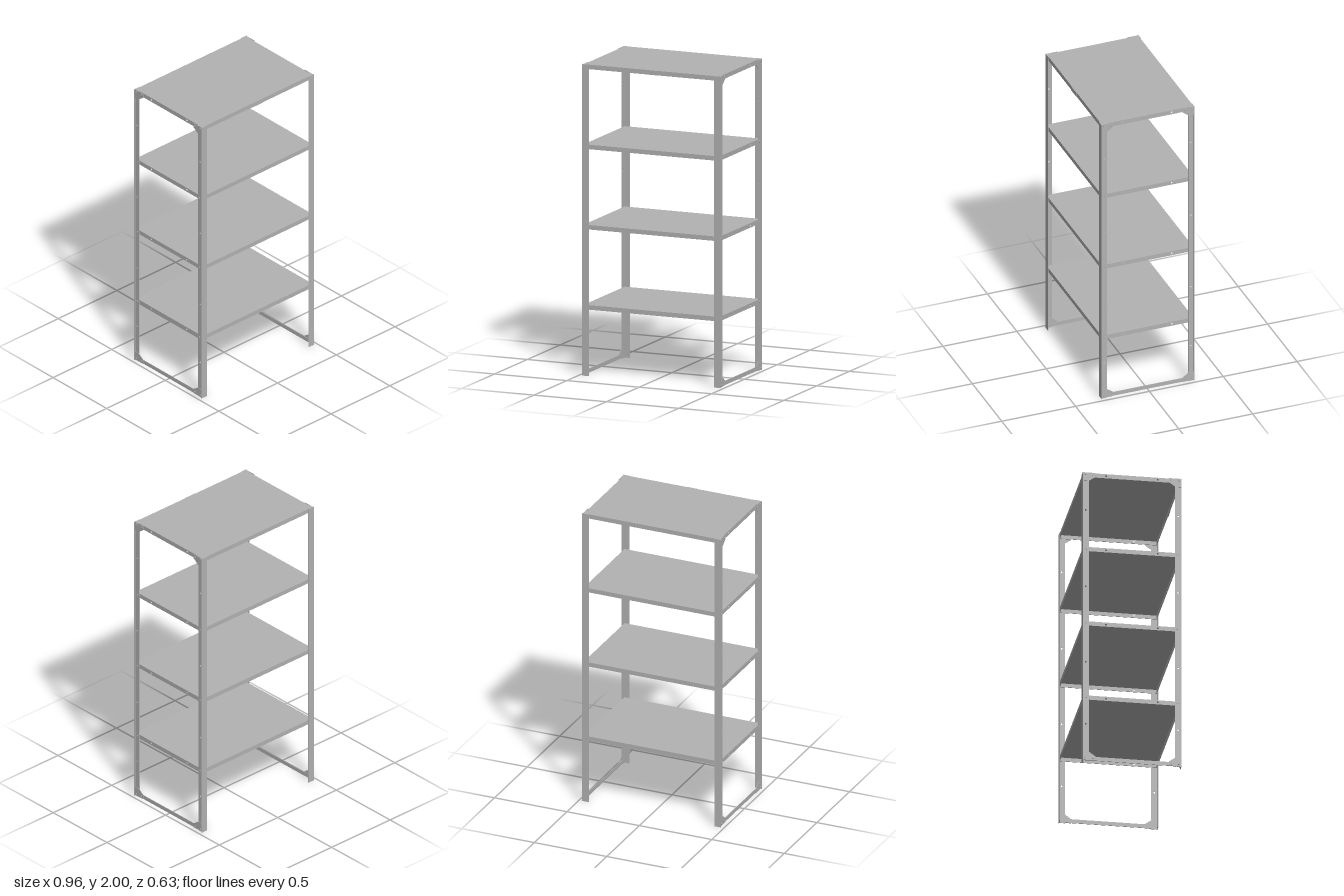
import * as THREE from 'three';

const steel = new THREE.MeshStandardMaterial({ color: 0xb2b2b2 });
steel.name = 'grey steel';

const SHELF_TOPS = [0.455, 0.97, 1.486, 2.0];
const SHELF_H = 0.029;
const T = 0.004; // sheet thickness
const SHELF_X = 0.468, SHELF_Z = 0.311; // half sizes of a shelf
const POST_X = 0.48, POST_Z = 0.315; // half sizes over the posts

function add(parent, name, geometry) {
  const mesh = new THREE.Mesh(geometry, steel);
  mesh.name = name;
  parent.add(mesh);
  return mesh;
}

// Box given by its minimum and maximum corners
function box(parent, name, x0, x1, y0, y1, z0, z1) {
  const mesh = add(parent, name, new THREE.BoxGeometry(x1 - x0, y1 - y0, z1 - z0));
  mesh.position.set((x0 + x1) / 2, (y0 + y1) / 2, (z0 + z1) / 2);
  return mesh;
}

// Plate drawn in (z, y), with round holes, starting at x and thickened outwards
function sidePlate(parent, name, points, holes, x, thickness = T) {
  const shape = new THREE.Shape(points.map(([z, y]) => new THREE.Vector2(z, y)));
  for (const [z, y] of holes) {
    shape.holes.push(new THREE.Path().absarc(z, y, 0.006, 0, Math.PI * 2, true));
  }
  const g = new THREE.ExtrudeGeometry(shape, { depth: thickness, bevelEnabled: false, curveSegments: 6 });
  g.rotateY(-Math.PI / 2).translate(x + thickness, 0, 0);
  return add(parent, name, g);
}

const rect = (z0, z1, y0, y1) => [[z0, y0], [z1, y0], [z1, y1], [z0, y1]];

function bolt(parent, z, y, x) {
  const mesh = add(parent, 'bolt', new THREE.CylinderGeometry(0.006, 0.006, 0.005, 6));
  mesh.rotation.z = Math.PI / 2;
  mesh.position.set(x + 0.0025, y, z);
}

// Folded tray, open underneath
function createShelf(top) {
  const shelf = new THREE.Group();
  shelf.name = 'shelf';
  const low = top - SHELF_H;
  box(shelf, 'shelfTop', -SHELF_X, SHELF_X, top - T, top, -SHELF_Z, SHELF_Z);
  for (const s of [-1, 1]) {
    const z = s * (SHELF_Z - T / 2);
    box(shelf, 'shelfLip', -SHELF_X, SHELF_X, low, top - T, z - T / 2, z + T / 2);
    const side = new THREE.Group();
    side.name = 'shelfSide';
    const y = top - SHELF_H / 2;
    const end = SHELF_Z - T;
    sidePlate(side, 'shelfSideLip', rect(-end, end, low, top - T), [[-0.165, y], [0.165, y]], SHELF_X - T);
    if (s < 0) side.rotation.y = Math.PI;
    shelf.add(side);
  }
  return shelf;
}

// Two posts with their corner gussets and bottom rail
function createSideFrame() {
  const frame = new THREE.Group();
  frame.name = 'sideFrame';
  for (const s of [-1, 1]) {
    const span = (a, b) => (s > 0 ? [a, b] : [-b, -a]);
    // broad face flange of the post, standing slightly proud of the side flange
    box(frame, 'postFace', 0.434, POST_X, 0, 2, ...span(SHELF_Z, POST_Z));
    const holes = [0.255, 0.685, 1.21, 1.74].map((y) => [s * 0.295, y]);
    sidePlate(frame, 'postSide', rect(...span(0.275, SHELF_Z), 0, 2), holes, SHELF_X);

    // gussets at the top and the bottom
    for (const [y, d] of [[0.004, 1], [2, -1]]) {
      const pts = [
        [0.311, y], [0.235, y], [0.235, y + d * 0.029],
        [0.275, y + d * 0.058], [0.311, y + d * 0.058],
      ].map(([z, py]) => [s * z, py]);
      sidePlate(frame, 'gusset', pts, [], SHELF_X + T, 0.003);
      bolt(frame, s * 0.298, y + d * 0.013, SHELF_X + T + 0.003);
      bolt(frame, s * 0.25, y + d * 0.015, SHELF_X + T + 0.003);
    }

    // bolts holding the lower shelves
    for (const top of SHELF_TOPS.slice(0, 3)) {
      bolt(frame, s * 0.29, top - SHELF_H / 2, SHELF_X + T);
    }
  }
  box(frame, 'bottomRail', SHELF_X, SHELF_X + T, 0.004, 0.03, -0.275, 0.275);
  return frame;
}

export function createModel() {
  const model = new THREE.Group();
  model.name = 'shelvingUnit';

  for (const top of SHELF_TOPS) model.add(createShelf(top));

  const left = createSideFrame();
  const right = createSideFrame();
  right.rotation.y = Math.PI;
  model.add(left, right);

  // small blank plate on the front of the top shelf
  box(model, 'frontPlate', -0.042, 0.042, 2 - SHELF_H, 2, SHELF_Z, SHELF_Z + 0.003);
  return model;
}
